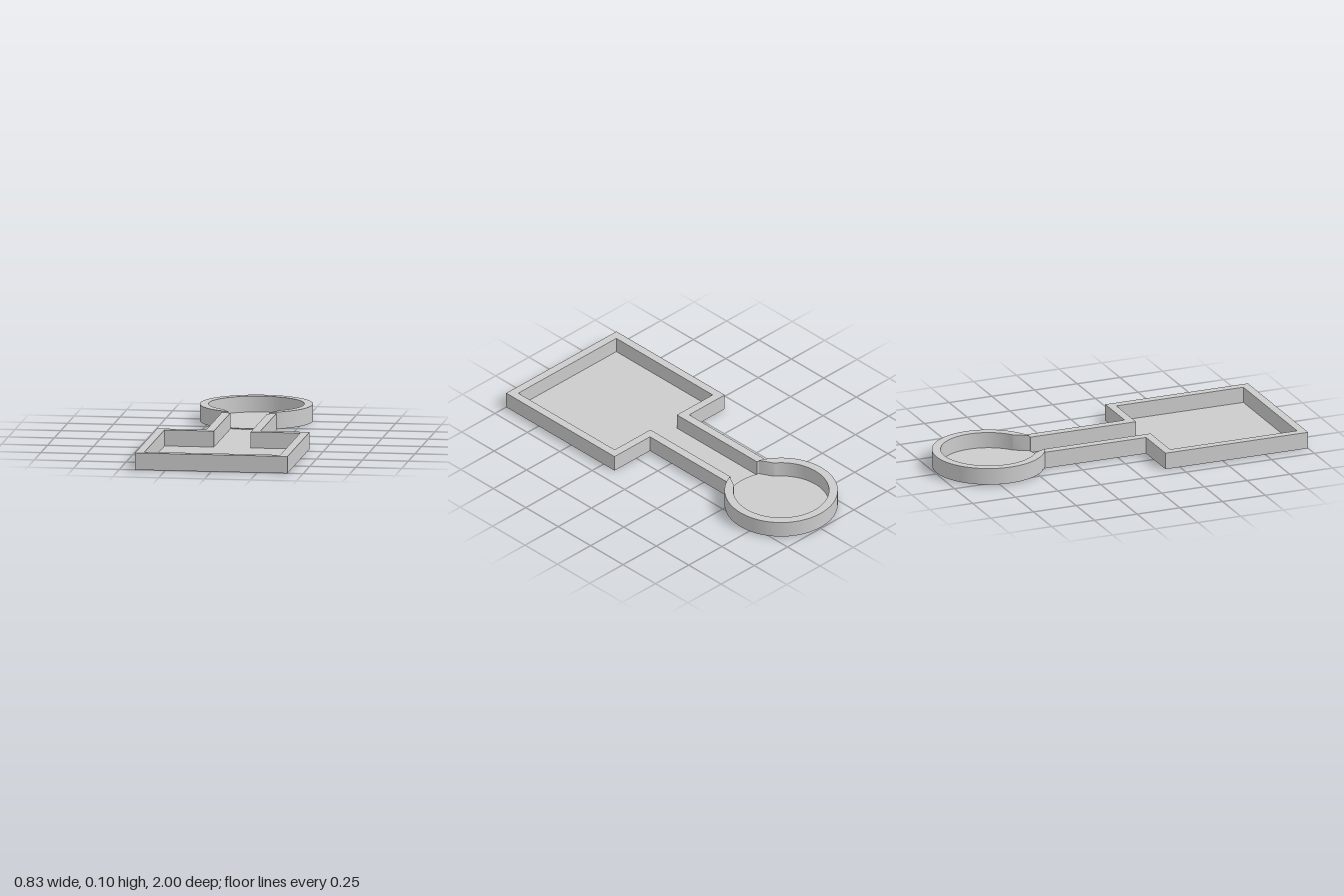
import * as THREE from 'three';
import { toCreasedNormals } from 'three/addons/utils/BufferGeometryUtils.js';

const material = new THREE.MeshStandardMaterial({ color: 0xcccccc });

// Extrude a plan drawn in (x, z) upward from y0 to y1.
function slab(name, shape, y0, y1) {
  const raw = new THREE.ExtrudeGeometry(shape, { depth: y1 - y0, bevelEnabled: false, curveSegments: 64 });
  raw.rotateX(Math.PI / 2).translate(0, y1, 0);
  const mesh = new THREE.Mesh(toCreasedNormals(raw, 0.5), material);
  mesh.name = name;
  return mesh;
}

const mirrored = (pts) => pts.map(([x, z]) => [-x, z]).reverse();
const polygon = (pts) => new THREE.Shape(pts.map(([x, z]) => new THREE.Vector2(x, z)));

export function createModel() {
  const group = new THREE.Group();
  group.name = 'tray';

  const bodyTop = 0.092, bodyFloor = 0.005;
  const bowlBottom = 0.007, bowlFloor = 0.012, bowlTop = 0.099;
  const bowlZ = -0.695, outerR = 0.305, innerR = 0.258;

  // Square tray and channel share one floor, tucked under the round bowl
  const floorHalf = [[0.148, -0.46], [0.148, 0.165], [0.415, 0.165], [0.415, 1]];
  group.add(slab('bodyFloor', polygon([...floorHalf, ...mirrored(floorHalf)]), 0, bodyFloor));

  // Continuous wall around the square tray and along both sides of the channel
  const outer = [[0.148, -0.432], [0.148, 0.165], [0.415, 0.165], [0.415, 1]];
  const inner = [[0.369, 0.954], [0.369, 0.211], [0.1, 0.211], [0.1, -0.405]];
  group.add(slab('bodyWall',
    polygon([...outer, ...mirrored(outer), ...mirrored(inner), ...inner]), 0, bodyTop));

  // Round bowl floor
  const disc = new THREE.Shape();
  disc.absarc(0, bowlZ, outerR, 0, Math.PI * 2);
  group.add(slab('bowlFloor', disc, bowlBottom, bowlFloor));

  // Bowl wall, open toward the channel with slanted ends
  const outerGap = Math.asin(0.11 / outerR), innerGap = Math.asin(0.15 / innerR);
  const front = Math.PI / 2;
  const ring = new THREE.Shape();
  ring.absarc(0, bowlZ, outerR, front + outerGap, front - outerGap + Math.PI * 2, false);
  ring.absarc(0, bowlZ, innerR, front - innerGap + Math.PI * 2, front + innerGap, true);
  ring.closePath();
  group.add(slab('bowlWall', ring, bowlBottom, bowlTop));

  return group;
}
